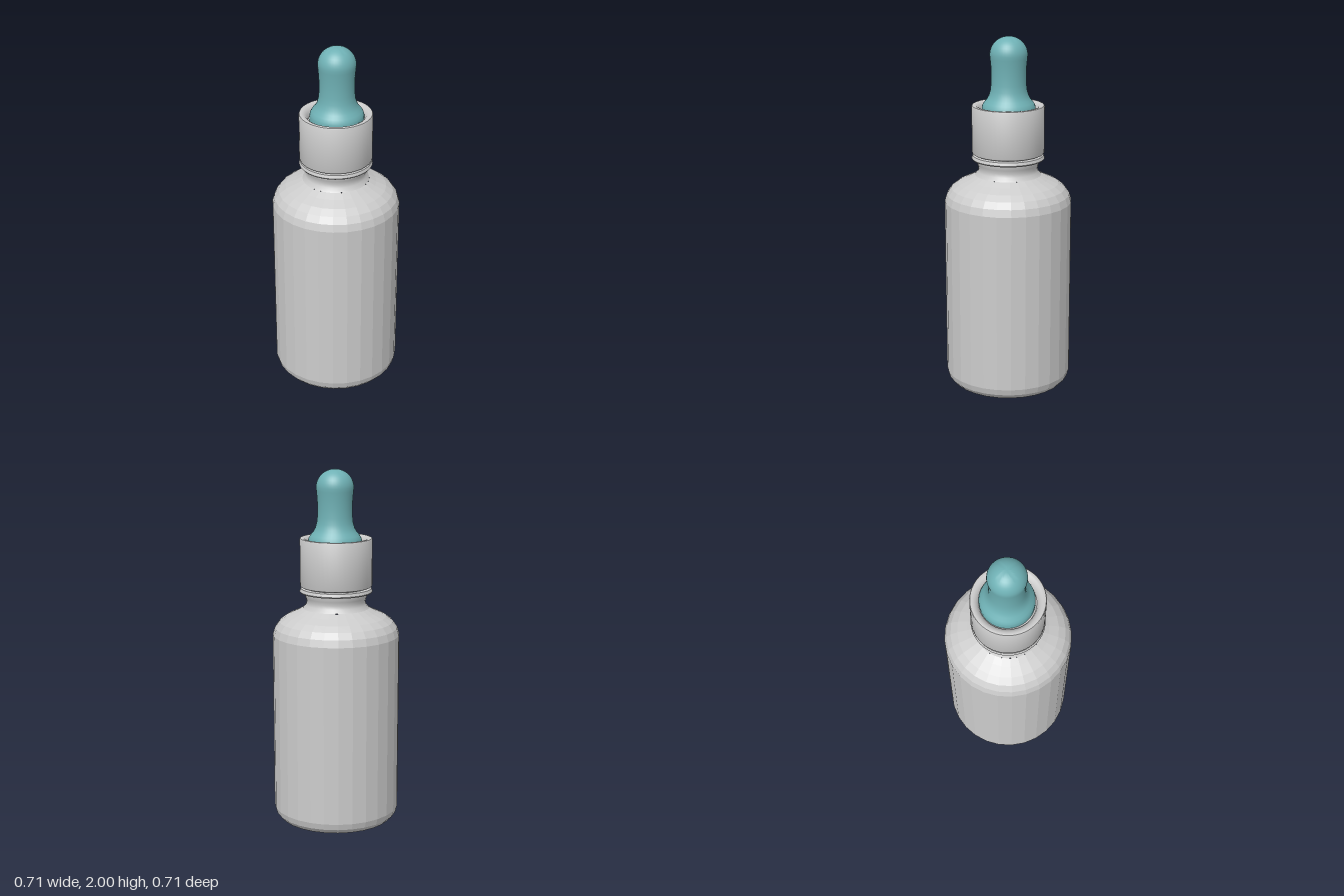
import * as THREE from 'three';
import { toCreasedNormals } from 'three/addons/utils/BufferGeometryUtils.js';

const grey = new THREE.MeshStandardMaterial({ color: 0xcccccc });
const faceted = new THREE.MeshStandardMaterial({ color: 0xcccccc, flatShading: true });
const teal = new THREE.MeshStandardMaterial({ color: 0x6fb1b5 });

// Revolve a profile of [radius, height] pairs around the y axis.
function turned(name, profile, sides, material, crease = 0.7) {
  const points = profile.map(([r, y]) => new THREE.Vector2(r, y));
  let geometry = new THREE.LatheGeometry(points, sides);
  if (!material.flatShading) geometry = toCreasedNormals(geometry, crease);
  const mesh = new THREE.Mesh(geometry, material);
  mesh.name = name;
  return mesh;
}

export function createModel() {
  const group = new THREE.Group();
  group.name = 'dropperBottle';

  // Low-poly bottle body with a rounded foot and shoulder
  group.add(turned('bottleBody', [
    [0.29, 0], [0.32, 0.012], [0.345, 0.04], [0.355, 0.075],
    [0.355, 1.08], [0.343, 1.12], [0.318, 1.155], [0.28, 1.183], [0.225, 1.208], [0.185, 1.23],
  ], 28, faceted));

  // Recessed underside with a rounded inner lip
  group.add(turned('bottleBase', [
    [0, 0.04], [0.225, 0.04], [0.232, 0.028], [0.245, 0.012], [0.265, 0.003], [0.29, 0],
  ], 28, grey, 1));

  // Neck, flaring up to the collar and continuing inside the cap
  group.add(turned('neck', [
    [0.185, 1.23], [0.168, 1.25], [0.164, 1.27], [0.17, 1.29], [0.177, 1.31], [0.177, 1.36],
  ], 32, grey, 1));

  // Thin collar ring below the cap
  group.add(turned('collarRing', [
    [0.165, 1.318], [0.198, 1.318], [0.203, 1.325], [0.197, 1.342], [0.17, 1.346],
  ], 48, grey));

  // Cap with a rounded rim that dips in towards the bulb
  group.add(turned('cap', [
    [0.16, 1.35], [0.192, 1.35], [0.198, 1.353], [0.201, 1.36],
    [0.201, 1.615], [0.198, 1.621], [0.19, 1.623], [0.178, 1.621],
    [0.166, 1.614], [0.156, 1.6], [0.15, 1.58], [0.1, 1.575],
  ], 48, grey));

  // Rubber bulb: flared skirt, slim waist and domed tip
  const bulbProfile = [
    [0.148, 1.57], [0.148, 1.61], [0.145, 1.622], [0.136, 1.638], [0.121, 1.655], [0.109, 1.677],
    [0.101, 1.705], [0.097, 1.74], [0.096, 1.79], [0.098, 1.84], [0.102, 1.88],
  ];
  for (let i = 0; i <= 10; i++) {
    const a = (i / 10) * Math.PI / 2;
    bulbProfile.push([0.104 * Math.cos(a), 1.9 + 0.1 * Math.sin(a)]);
  }
  const bulb = turned('bulb', bulbProfile, 40, teal);
  bulb.position.x = 0.007;
  group.add(bulb);

  return group;
}
